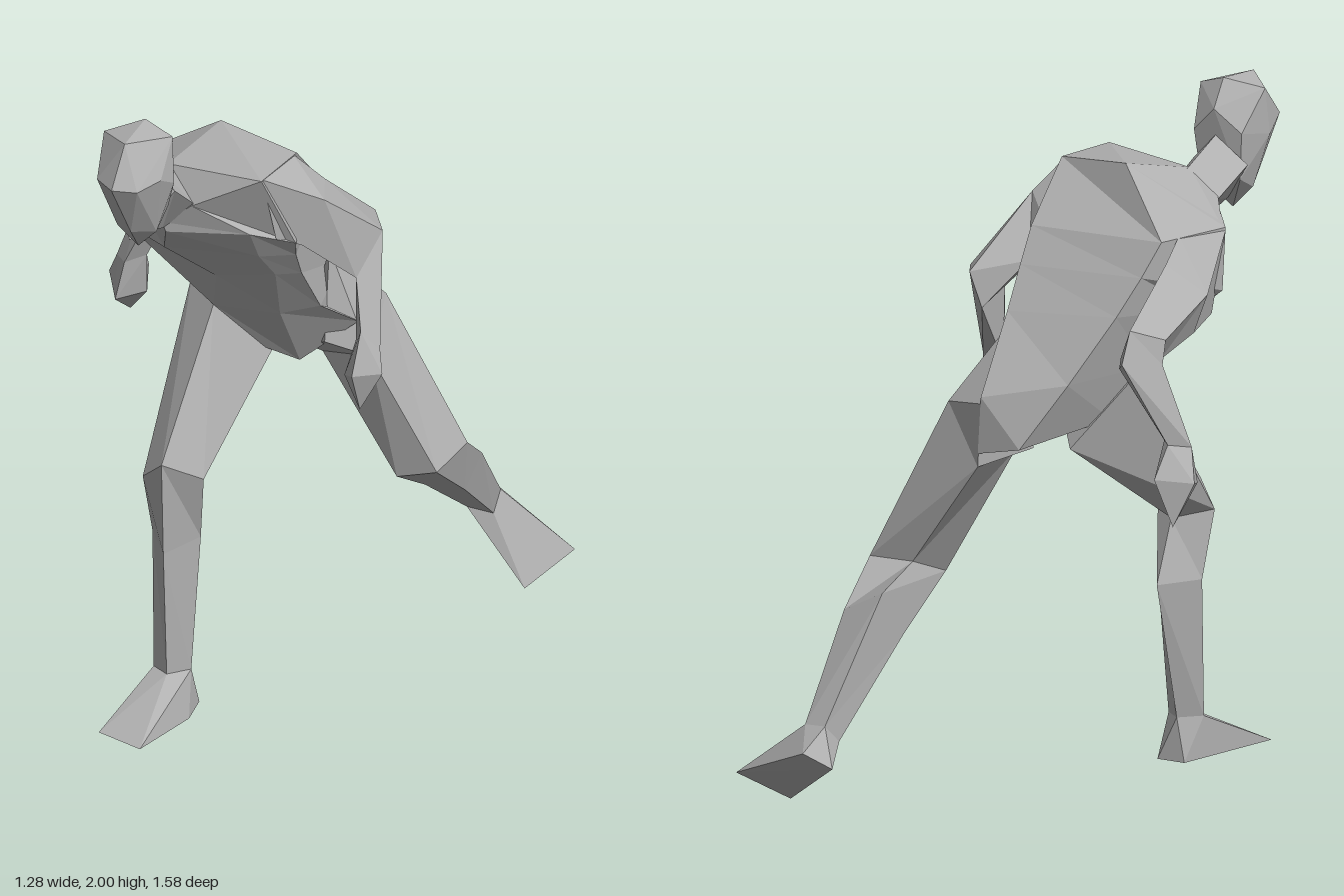
import * as THREE from 'three';
import { ConvexGeometry } from 'three/addons/geometries/ConvexGeometry.js';

const grey = new THREE.MeshStandardMaterial({ color: 0xb0b0b0, flatShading: true });
grey.name = 'plain grey';

// Joins matching cross-sections into a closed, faceted skin facing outwards.
function loft(name, rings) {
  const n = rings[0].length;
  const tris = [];
  for (let r = 0; r < rings.length - 1; r++) {
    for (let i = 0; i < n; i++) {
      const j = (i + 1) % n;
      const a = rings[r][i], b = rings[r][j], c = rings[r + 1][j], d = rings[r + 1][i];
      tris.push([a, b, c], [a, c, d]);
    }
  }
  const first = rings[0], last = rings[rings.length - 1];
  for (let i = 1; i < n - 1; i++) {
    tris.push([first[0], first[i + 1], first[i]], [last[0], last[i], last[i + 1]]);
  }
  // The sign of the enclosed volume tells which way the corners run.
  let volume = 0;
  for (const t of tris) {
    const [a, b, c] = t.map((p) => new THREE.Vector3(...p));
    volume += a.dot(b.cross(c));
  }
  if (volume < 0) tris.forEach((t) => t.reverse());
  const geometry = new THREE.BufferGeometry();
  geometry.setAttribute('position', new THREE.Float32BufferAttribute(tris.flat(2), 3));
  geometry.computeVertexNormals();
  return named(name, geometry);
}

// Wraps a few corner points in a faceted hull.
function hull(name, points) {
  return named(name, new ConvexGeometry(points.map((p) => new THREE.Vector3(...p))));
}

function named(name, geometry) {
  const mesh = new THREE.Mesh(geometry, grey);
  mesh.name = name;
  return mesh;
}

export function createModel() {
  const model = new THREE.Group();
  model.name = 'runningFigure';

  // Torso: right side, front right, front left, left side, back left, back right
  model.add(loft('torso', [
    [[-0.37, 1.69, 0.39], [-0.28, 1.61, 0.46], [-0.19, 1.68, 0.47], [0.02, 1.79, 0.47], [0.07, 1.79, 0.27], [-0.18, 1.82, 0.19]],
    [[-0.49, 1.66, 0.22], [-0.27, 1.58, 0.46], [-0.02, 1.6, 0.45], [0.1, 1.56, 0.39], [0.07, 1.63, 0.08], [-0.37, 1.64, 0.05]],
    [[-0.48, 1.47, 0.22], [-0.3, 1.48, 0.37], [-0.01, 1.5, 0.39], [0.09, 1.5, 0.35], [0.07, 1.53, 0.01], [-0.33, 1.54, 0]],
    [[-0.41, 1.41, 0.21], [-0.17, 1.36, 0.28], [0.02, 1.41, 0.32], [0.09, 1.41, 0.29], [0.07, 1.41, -0.07], [-0.28, 1.43, -0.06]],
    [[-0.3, 1.25, 0.1], [-0.2, 1.22, 0.2], [0, 1.22, 0.2], [0.11, 1.24, 0.16], [0.07, 1.19, -0.235], [-0.18, 1.24, -0.17]],
    [[-0.22, 1.1, 0.02], [-0.08, 1.05, 0.1], [0.02, 1, 0.06], [0.19, 1.14, 0.04], [0.08, 1.02, -0.235], [-0.06, 1.05, -0.245]],
  ]));
  model.add(hull('shoulderYoke', [
    [-0.28, 1.77, 0.4], [0.02, 1.79, 0.47], [0.07, 1.79, 0.27], [-0.18, 1.82, 0.19],
    [-0.48, 1.66, 0.22], [-0.37, 1.7, 0.4], [-0.2, 1.68, 0.47], [-0.37, 1.64, 0.05],
  ]));

  // Head and neck
  model.add(loft('neck', [
    [[-0.38, 1.69, 0.38], [-0.28, 1.59, 0.46], [-0.18, 1.68, 0.46], [-0.28, 1.77, 0.38]],
    [[-0.4, 1.76, 0.53], [-0.31, 1.64, 0.58], [-0.22, 1.76, 0.54], [-0.3, 1.84, 0.52]],
  ]));
  model.add(hull('head', [
    [-0.3, 2, 0.57], [-0.32, 1.99, 0.72], [-0.41, 1.97, 0.62], [-0.21, 1.97, 0.6],
    [-0.34, 1.87, 0.79], [-0.27, 1.86, 0.765], [-0.4, 1.87, 0.73], [-0.22, 1.87, 0.69],
    [-0.415, 1.83, 0.64], [-0.2, 1.83, 0.62], [-0.3, 1.92, 0.51], [-0.38, 1.85, 0.53], [-0.23, 1.85, 0.52],
    [-0.37, 1.67, 0.62], [-0.25, 1.67, 0.63], [-0.31, 1.605, 0.61], [-0.31, 1.69, 0.69],
    [-0.37, 1.71, 0.54], [-0.24, 1.71, 0.54],
  ]));

  // Left arm: elbow swung out, forearm reaching forwards
  const leftElbow = [[0.23, 1.49, 0], [0.28, 1.48, 0.1], [0.24, 1.39, 0.24], [0.2, 1.38, 0.02]];
  const leftWrist = [[0.29, 1.19, 0.2], [0.32, 1.18, 0.27], [0.27, 1.25, 0.3], [0.23, 1.17, 0.21]];
  model.add(loft('leftUpperArm', [
    [[0.06, 1.79, 0.28], [0.02, 1.79, 0.46], [0.05, 1.58, 0.42], [0.05, 1.62, 0.13]],
    [[0.14, 1.69, 0.22], [0.17, 1.68, 0.33], [0.11, 1.54, 0.36], [0.1, 1.51, 0.12]],
    leftElbow,
  ]));
  model.add(loft('leftForearm', [leftElbow, leftWrist]));
  model.add(hull('leftHand', [
    ...leftWrist, [0.335, 1.12, 0.3], [0.31, 1.1, 0.23], [0.26, 1.13, 0.36],
    [0.27, 1, 0.31], [0.21, 1.08, 0.26],
  ]));

  // Right arm: drawn back, forearm hanging
  const rightElbow = [[-0.45, 1.38, -0.35], [-0.52, 1.36, -0.23], [-0.47, 1.33, -0.16], [-0.41, 1.35, -0.29]];
  const rightWrist = [[-0.55, 1.13, -0.255], [-0.605, 1.12, -0.21], [-0.57, 1.12, -0.165], [-0.515, 1.13, -0.21]];
  model.add(loft('rightUpperArm', [
    [[-0.4, 1.65, 0.1], [-0.49, 1.65, 0.22], [-0.45, 1.4, 0.21], [-0.34, 1.42, 0.06]],
    [[-0.41, 1.59, 0], [-0.515, 1.5, 0.06], [-0.47, 1.38, 0.06], [-0.37, 1.41, 0]],
    [[-0.45, 1.47, -0.3], [-0.52, 1.43, -0.21], [-0.47, 1.35, -0.15], [-0.41, 1.38, -0.28]],
    rightElbow,
  ]));
  model.add(loft('rightForearm', [rightElbow, rightWrist]));
  model.add(hull('rightHand', [
    ...rightWrist, [-0.645, 1.03, -0.27], [-0.54, 1.04, -0.32], [-0.59, 0.9, -0.3],
    [-0.52, 1, -0.23], [-0.595, 1, -0.155],
  ]));

  // Left leg: pushing off behind
  const leftKnee = [[0.45, 0.66, -0.2], [0.4, 0.63, -0.05], [0.28, 0.6, -0.05], [0.31, 0.66, -0.2]];
  const leftAnkle = [[0.42, 0.27, -0.66], [0.41, 0.21, -0.62], [0.33, 0.22, -0.62], [0.34, 0.28, -0.69]];
  model.add(loft('leftThigh', [
    [[0.1, 1.36, 0.03], [0.1, 1.08, 0.08], [0, 1, -0.04], [0.07, 1.17, -0.235]],
    [[0.22, 1.14, -0.15], [0.22, 1.02, 0.02], [0.06, 0.985, -0.04], [0.08, 0.98, -0.235]],
    leftKnee,
  ]));
  model.add(loft('leftShin', [
    leftKnee,
    [[0.445, 0.54, -0.37], [0.42, 0.46, -0.28], [0.3, 0.46, -0.28], [0.31, 0.61, -0.39]],
    leftAnkle,
  ]));
  model.add(hull('leftFoot', [
    ...leftAnkle, [0.36, 0.22, -0.79], [0.29, 0.17, -0.74], [0.64, 0.1, -0.67], [0.52, 0.01, -0.56],
  ]));

  // Right leg: planted in front
  const rightKnee = [[-0.35, 0.75, 0.42], [-0.28, 0.82, 0.47], [-0.17, 0.76, 0.41], [-0.25, 0.73, 0.34]];
  const rightAnkle = [[-0.32, 0.13, 0.41], [-0.27, 0.13, 0.45], [-0.21, 0.13, 0.4], [-0.26, 0.13, 0.355]];
  model.add(loft('rightThigh', [
    [[-0.3, 1.25, 0.06], [-0.2, 1.22, 0.2], [-0.05, 1.05, 0.06], [-0.15, 1.03, -0.1]],
    rightKnee,
  ]));
  model.add(loft('rightShin', [
    rightKnee,
    [[-0.335, 0.55, 0.37], [-0.28, 0.52, 0.45], [-0.19, 0.55, 0.37], [-0.25, 0.55, 0.25]],
    rightAnkle,
  ]));
  model.add(hull('rightFoot', [
    ...rightAnkle, [-0.29, 0, 0.345], [-0.2, 0, 0.35], [-0.2, 0, 0.46], [-0.42, 0.015, 0.64], [-0.28, 0.01, 0.7],
  ]));

  return model;
}
